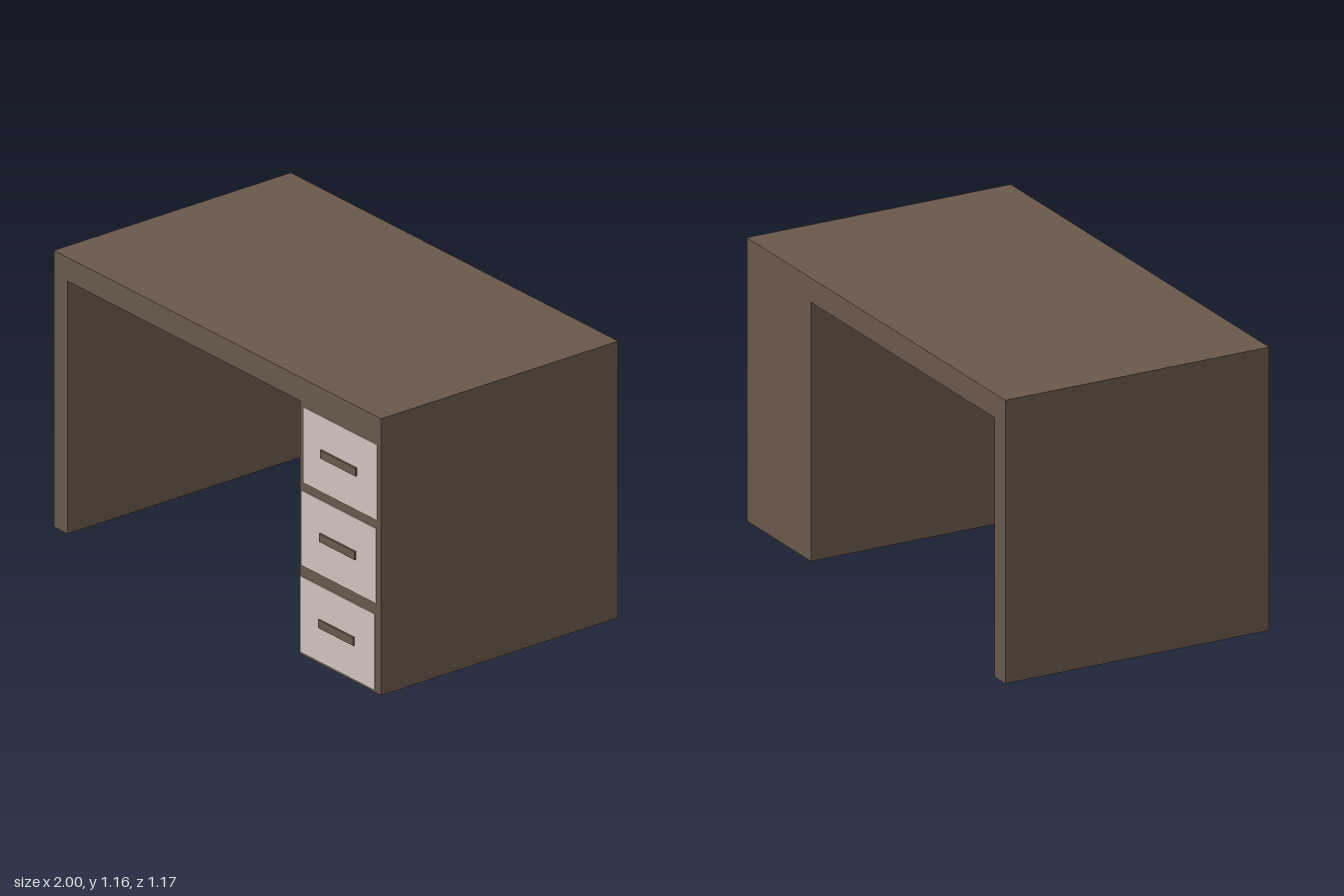
import * as THREE from 'three';

const wood = new THREE.MeshStandardMaterial({ color: 0x68584a });
wood.name = 'dark brown wood';
const beige = new THREE.MeshStandardMaterial({ color: 0xcfc4bb });
beige.name = 'pale beige drawer front';

const BACK = -0.583, FRONT = 0.573;

// Box given by its limits on each axis
function box(name, material, [x0, x1], [y0, y1], [z0, z1]) {
  const mesh = new THREE.Mesh(new THREE.BoxGeometry(x1 - x0, y1 - y0, z1 - z0), material);
  mesh.position.set((x0 + x1) / 2, (y0 + y1) / 2, (z0 + z1) / 2);
  mesh.name = name;
  return mesh;
}

export function createModel() {
  const desk = new THREE.Group();
  desk.name = 'desk';

  // Desktop, side panel and drawer cabinet as one extruded outline
  const outline = new THREE.Shape([
    [-1, 0], [-0.917, 0], [-0.917, 1.057], [0.503, 1.057],
    [0.503, 0], [1, 0], [1, 1.156], [-1, 1.156],
  ].map(([x, y]) => new THREE.Vector2(x, y)));
  const body = new THREE.Mesh(
    new THREE.ExtrudeGeometry(outline, { depth: FRONT - BACK, bevelEnabled: false }), wood);
  body.position.z = BACK;
  body.name = 'deskBody';
  desk.add(body);

  // Drawers, each slightly offset from the one below
  const drawers = [
    { name: 'bottomDrawer', x: [0.509, 0.963], y: [0.01, 0.328], hx: [0.629, 0.843], hy: [0.155, 0.189] },
    { name: 'middleDrawer', x: [0.515, 0.972], y: [0.375, 0.688], hx: [0.635, 0.852], hy: [0.517, 0.551] },
    { name: 'topDrawer', x: [0.526, 0.978], y: [0.724, 1.04], hx: [0.64, 0.857], hy: [0.868, 0.902] },
  ];
  for (const d of drawers) {
    const drawer = new THREE.Group();
    drawer.name = d.name;
    drawer.add(box('drawerFront', beige, d.x, d.y, [FRONT - 0.001, FRONT + 0.004]));
    drawer.add(box('drawerHandle', wood, d.hx, d.hy, [FRONT + 0.003, FRONT + 0.012]));
    desk.add(drawer);
  }
  return desk;
}
